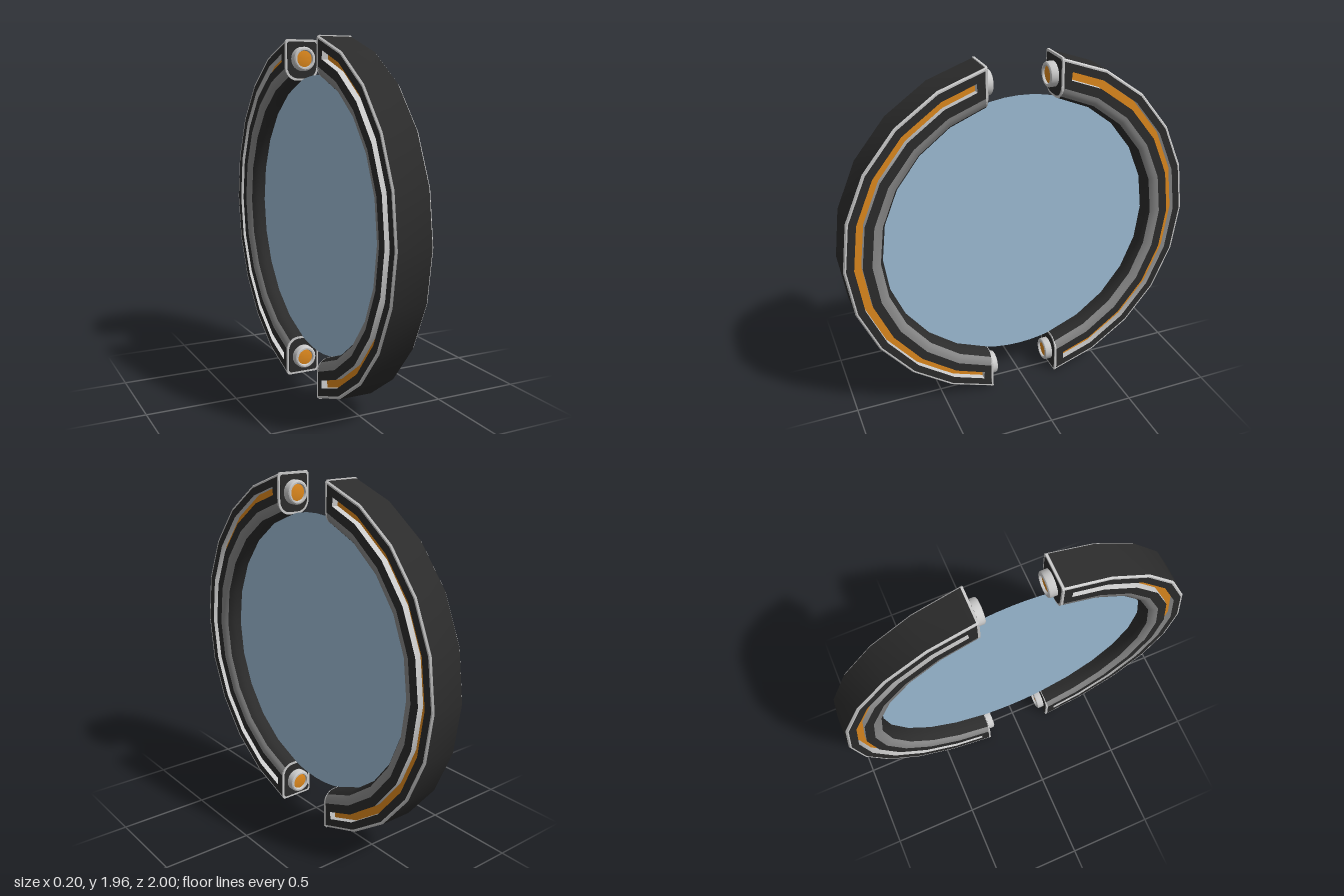
import * as THREE from 'three';
import { toCreasedNormals } from 'three/addons/utils/BufferGeometryUtils.js';

const mat = (color) => new THREE.MeshStandardMaterial({ color });
const dark = mat(0x2c2c2c), grey = mat(0x888888), light = mat(0xcccccc), orange = mat(0xe08a1e);
const CUT = 0.2;      // flat ends of both arcs lie at this z
const STEPS = 5;      // segments per quarter arc
const GROOVE = 4.76;  // where the groove stops, in steps

function mesh(name, geometry, material) {
  const m = new THREE.Mesh(geometry, material);
  m.name = name;
  return m;
}

// point on the faceted arc of radius r at step s (-STEPS..STEPS)
function arcPoint(x, r, s) {
  const at = (i) => {
    const a = (i / STEPS) * Math.acos(CUT / r);
    return new THREE.Vector3(x, r * Math.sin(a), r * Math.cos(a));
  };
  const i = Math.floor(s);
  return at(i).lerp(at(i + 1), s - i);
}

// sweep an open (x, radius) profile along the arc; counter-clockwise profiles face outward
function sweep(profile, from = -STEPS, to = STEPS) {
  const stops = [from];
  for (let s = Math.floor(from) + 1; s < to; s++) stops.push(s);
  stops.push(to);
  const pos = [], index = [], n = profile.length;
  for (const s of stops) for (const [x, r] of profile) pos.push(...arcPoint(x, r, s).toArray());
  for (let i = 0; i < stops.length - 1; i++) {
    for (let j = 0; j < n - 1; j++) {
      const a = i * n + j, b = a + n;
      index.push(a, b, a + 1, b, b + 1, a + 1);
    }
  }
  const g = new THREE.BufferGeometry();
  g.setAttribute('position', new THREE.Float32BufferAttribute(pos, 3));
  g.setIndex(index);
  return toCreasedNormals(g, 0.5);
}

// rounded inner corner of the cross-section, angles in degrees
function corner(a0, a1, n) {
  return Array.from({ length: n + 1 }, (_, i) => {
    const a = THREE.MathUtils.degToRad(a0 + ((a1 - a0) * i) / n);
    return [0.03 + 0.07 * Math.cos(a), 0.85 + 0.07 * Math.sin(a)];
  });
}
const mirror = (p) => p.map(([x, r]) => [-x, r]).reverse();

function endCap() {
  const cap = new THREE.Group();
  cap.name = 'endCap';
  const half = [...corner(-90, 0, 6), [0.1, 0.988], [0.09, 1.0]];
  const outline = [...half, ...mirror(half)].map(([x, r]) => [x, Math.sqrt(r * r - CUT * CUT)]);
  const mid = 0.867;
  const shape = (k) => new THREE.Shape(
    outline.map(([x, y]) => new THREE.Vector2(x * k, mid + (y - mid) * k)));
  const plate = (k, depth, z) =>
    new THREE.ExtrudeGeometry(shape(k), { depth, bevelEnabled: false }).translate(0, 0, z);
  cap.add(mesh('capTrim', plate(1.012, 0.012, CUT), light));
  cap.add(mesh('capFace', plate(0.9, 0.006, CUT - 0.002), dark));

  // round contact with a recessed centre
  const lathe = (pts) => toCreasedNormals(
    new THREE.LatheGeometry(pts.map((p) => new THREE.Vector2(...p)), 24), 0.5)
    .rotateX(-Math.PI / 2).translate(0, 0.873, CUT);
  cap.add(mesh('contactRing', lathe(
    [[0.067, 0], [0.067, 0.034], [0.064, 0.041], [0.058, 0.045], [0.049, 0.045], [0.045, 0.032]]), light));
  cap.add(mesh('contactCore', lathe([[0.046, 0.033], [0.03, 0.036], [0.0001, 0.037]]), orange));
  return cap;
}

function halfRing() {
  const ring = new THREE.Group();
  ring.name = 'halfRing';
  // inner and outer surfaces
  const inner = corner(-90, -45, 3);
  ring.add(mesh('innerSurface', sweep([...mirror(inner), ...inner]), dark));
  ring.add(mesh('outerSurface', sweep([[0.092, 1.0], [-0.092, 1.0]]), dark));

  // side details, the same on both faces
  const [lo, hi, floor] = [0.9, 0.944, 0.065];
  for (const side of [1, -1]) {
    const strip = (name, p, m, from, to) =>
      ring.add(mesh(name, sweep(side > 0 ? p : mirror(p), from, to), m));
    strip('innerBand', corner(-45, 0, 3), grey);
    strip('sideInner', [[0.1, 0.85], [0.1, lo]], dark);
    strip('sideOuter', [[0.1, hi], [0.1, 0.985]], dark);
    strip('edgeTrim', [[0.1, 0.985], [0.1, 0.993], [0.092, 1.0]], light);
    strip('grooveWall', [[0.1, lo], [floor, lo]], light, -GROOVE, GROOVE);
    strip('grooveWall', [[floor, hi], [0.1, hi]], light, -GROOVE, GROOVE);
    strip('glowStrip', [[floor, lo], [floor, hi]], orange, -GROOVE, GROOVE);
    // solid ends beyond the groove
    for (const end of [1, -1]) {
      const [from, to] = end > 0 ? [GROOVE, STEPS] : [-STEPS, -GROOVE];
      strip('grooveEnd', [[0.1, lo], [0.1, hi]], dark, from, to);
      const wall = new THREE.BufferGeometry().setFromPoints(
        [[floor, lo], [0.1, lo], [0.1, hi], [floor, hi]].map(([x, r]) => arcPoint(x * side, r, end * GROOVE)));
      wall.setIndex(side * end > 0 ? [0, 1, 2, 0, 2, 3] : [0, 2, 1, 0, 3, 2]);
      wall.computeVertexNormals();
      const wallMesh = mesh('grooveEndWall', wall, light.clone());
      wallMesh.material.side = THREE.DoubleSide;
      ring.add(wallMesh);
    }
  }

  // end caps, top and bottom
  const top = endCap(), bottom = endCap();
  bottom.rotation.z = Math.PI;
  ring.add(top, bottom);
  return ring;
}

export function createModel() {
  const model = new THREE.Group();
  model.name = 'splitRingPortal';
  const front = halfRing(), back = halfRing();
  back.rotation.y = Math.PI;

  // thin disc filling the ring
  const discMaterial = mat(0x9fbfd8);
  discMaterial.side = THREE.DoubleSide;
  const disc = mesh('disc', new THREE.CircleGeometry(0.782, 64).rotateY(Math.PI / 2), discMaterial);

  model.add(front, back, disc);
  model.position.y = 0.98;
  const root = new THREE.Group();
  root.name = 'model';
  root.add(model);
  return root;
}
